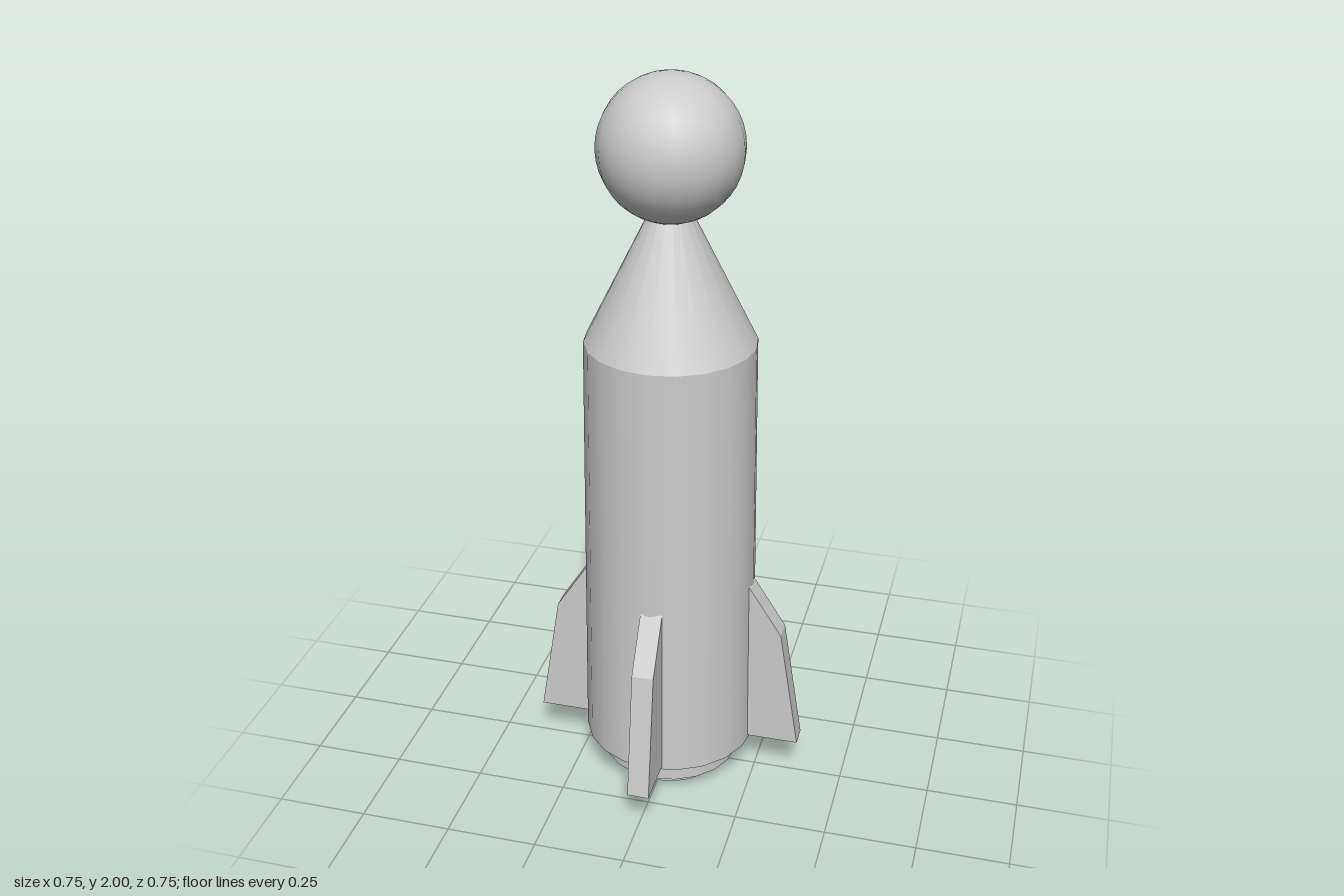
import * as THREE from 'three';

const material = new THREE.MeshStandardMaterial({ color: 0xcccccc });
const SIDES = 20;

export function createModel() {
  const group = new THREE.Group();

  function add(name, geometry, y = 0) {
    const mesh = new THREE.Mesh(geometry, material);
    mesh.name = name;
    mesh.position.y = y;
    group.add(mesh);
    return mesh;
  }

  // Upright round section between two heights
  function section(name, rTop, rBottom, y0, y1) {
    add(name, new THREE.CylinderGeometry(rTop, rBottom, y1 - y0, SIDES), (y0 + y1) / 2);
  }

  section('nozzle', 0.15, 0.15, 0, 0.045);
  section('engineCollar', 0.193, 0.193, 0.04, 0.115);
  section('body', 0.226, 0.24, 0.11, 1.305);
  section('noseCone', 0.01, 0.226, 1.305, 1.74);

  // Ball on the tip of the nose
  add('ball', new THREE.SphereGeometry(0.186, SIDES, 20), 1.814);

  // Four swept fins, each slightly off the centre line
  const profile = new THREE.Shape([
    [0.2, 0.12], [0.377, 0.12], [0.321, 0.47], [0.234, 0.605], [0.2, 0.655],
  ].map(([x, y]) => new THREE.Vector2(x, y)));
  const finGeometry = new THREE.ExtrudeGeometry(profile, { depth: 0.059, bevelEnabled: false });
  finGeometry.translate(0, 0, -0.0295);
  ['leftFin', 'backFin', 'rightFin', 'frontFin'].forEach((name, i) => {
    const fin = add(name, finGeometry);
    fin.rotation.y = i * Math.PI / 2;
    if (i % 2) fin.position.x = 0.007;
    else fin.position.z = 0.005;
  });

  return group;
}
